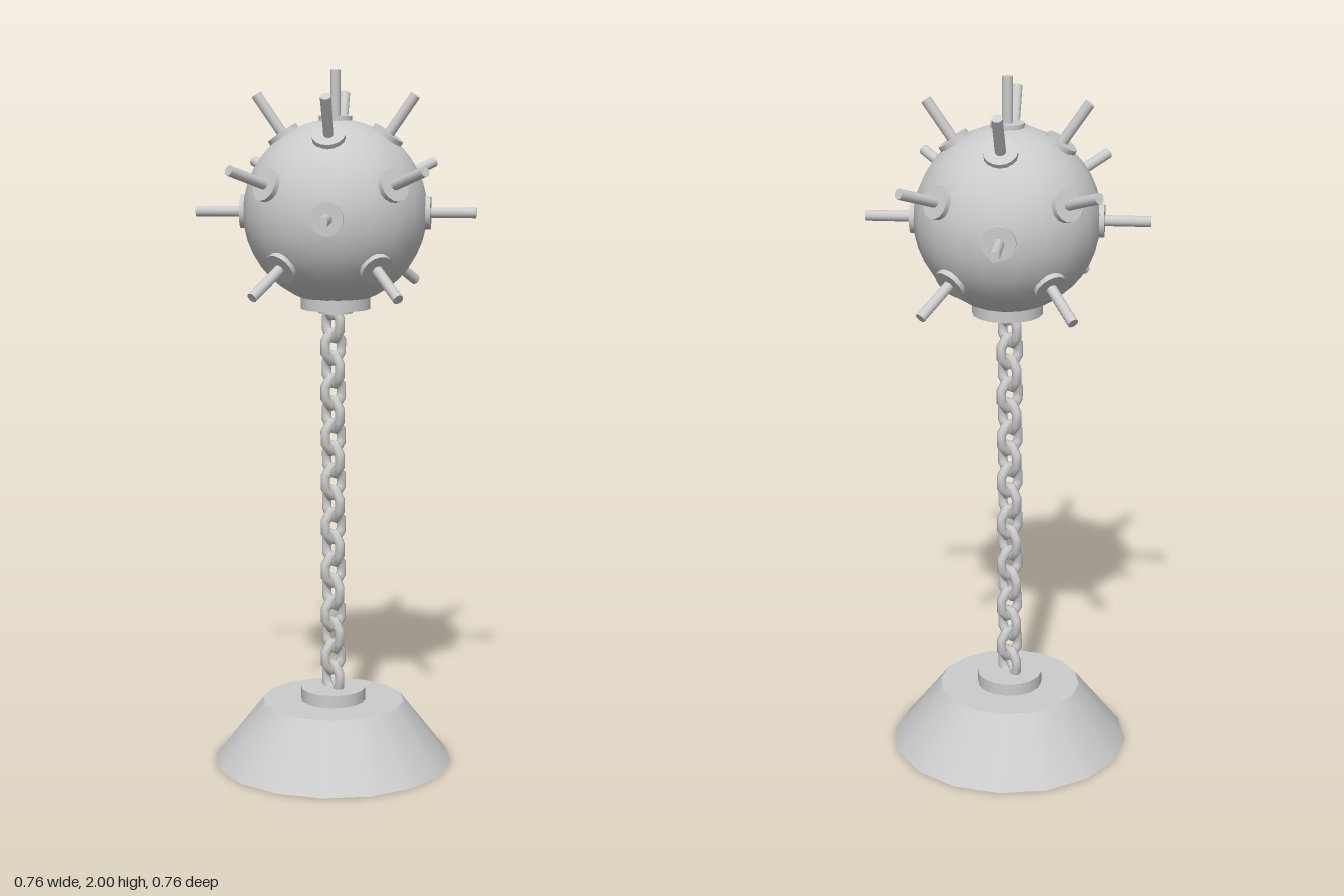
import * as THREE from 'three';

const material = new THREE.MeshStandardMaterial({ color: 0xcccccc });
const CENTRE_Y = 1.605;
const ANCHOR_Z = -0.01;

function add(parent, name, geometry, x = 0, y = 0, z = 0) {
  const mesh = new THREE.Mesh(geometry, material);
  mesh.name = name;
  mesh.position.set(x, y, z);
  parent.add(mesh);
  return mesh;
}

// Cylinder spanning the heights y0 to y1
function disc(parent, name, rTop, rBottom, y0, y1, z = 0, sides = 16) {
  const geometry = new THREE.CylinderGeometry(rTop, rBottom, y1 - y0, sides);
  return add(parent, name, geometry, 0, (y0 + y1) / 2, z);
}

// Detonator horn on a round boss, pointing out from the ball centre
function addHorn(parent, elevation, azimuth) {
  const e = THREE.MathUtils.degToRad(elevation);
  const a = THREE.MathUtils.degToRad(azimuth);
  const direction = new THREE.Vector3(
    Math.cos(e) * Math.cos(a), Math.sin(e), Math.cos(e) * Math.sin(a));
  const horn = new THREE.Group();
  horn.name = 'horn';
  horn.quaternion.setFromUnitVectors(new THREE.Vector3(0, 1, 0), direction);
  disc(horn, 'hornBoss', 0.047, 0.047, 0.22, 0.268);
  disc(horn, 'hornRod', 0.015, 0.015, 0.24, 0.395, 0, 12);
  parent.add(horn);
}

export function createModel() {
  const model = new THREE.Group();
  model.name = 'seaMine';

  // Anchor weight
  disc(model, 'anchorBase', 0.207, 0.348, 0, 0.18, ANCHOR_Z);
  disc(model, 'anchorCollar', 0.095, 0.095, 0.17, 0.217, ANCHOR_Z);

  // Chain of octagonal links, each turned a quarter from the last
  const link = new THREE.TorusGeometry(0.0335, 0.014, 8, 8);
  link.rotateZ(Math.PI / 8);
  link.scale(1, 1.25, 1);
  const chain = new THREE.Group();
  chain.name = 'chain';
  for (let i = 0; i < 18; i++) {
    const mesh = add(chain, 'chainLink', link, 0, 0.243 + 0.0653 * i, ANCHOR_Z);
    mesh.rotation.y = i % 2 ? 0 : Math.PI / 2;
  }
  model.add(chain);

  // Floating ball with its mooring plate
  disc(model, 'mooringPlate', 0.1, 0.1, 1.333, 1.367);
  disc(model, 'mooringRing', 0.05, 0.05, 1.32, 1.335);
  const ball = new THREE.Group();
  ball.name = 'ball';
  ball.position.y = CENTRE_Y;
  add(ball, 'ballShell', new THREE.SphereGeometry(0.26, 20, 20));

  // Horns: one on top, then four rings of four
  addHorn(ball, 90, 0);
  const rings = [[55.5, 47], [19, 0], [0, 45], [-33, -5]];
  for (const [elevation, start] of rings) {
    for (let k = 0; k < 4; k++) {
      // The lowest ring is slightly twisted
      const twist = elevation < 0 ? [0, 14, -2, 13][k] : 0;
      addHorn(ball, elevation, start + 90 * k + twist);
    }
  }
  model.add(ball);
  return model;
}
